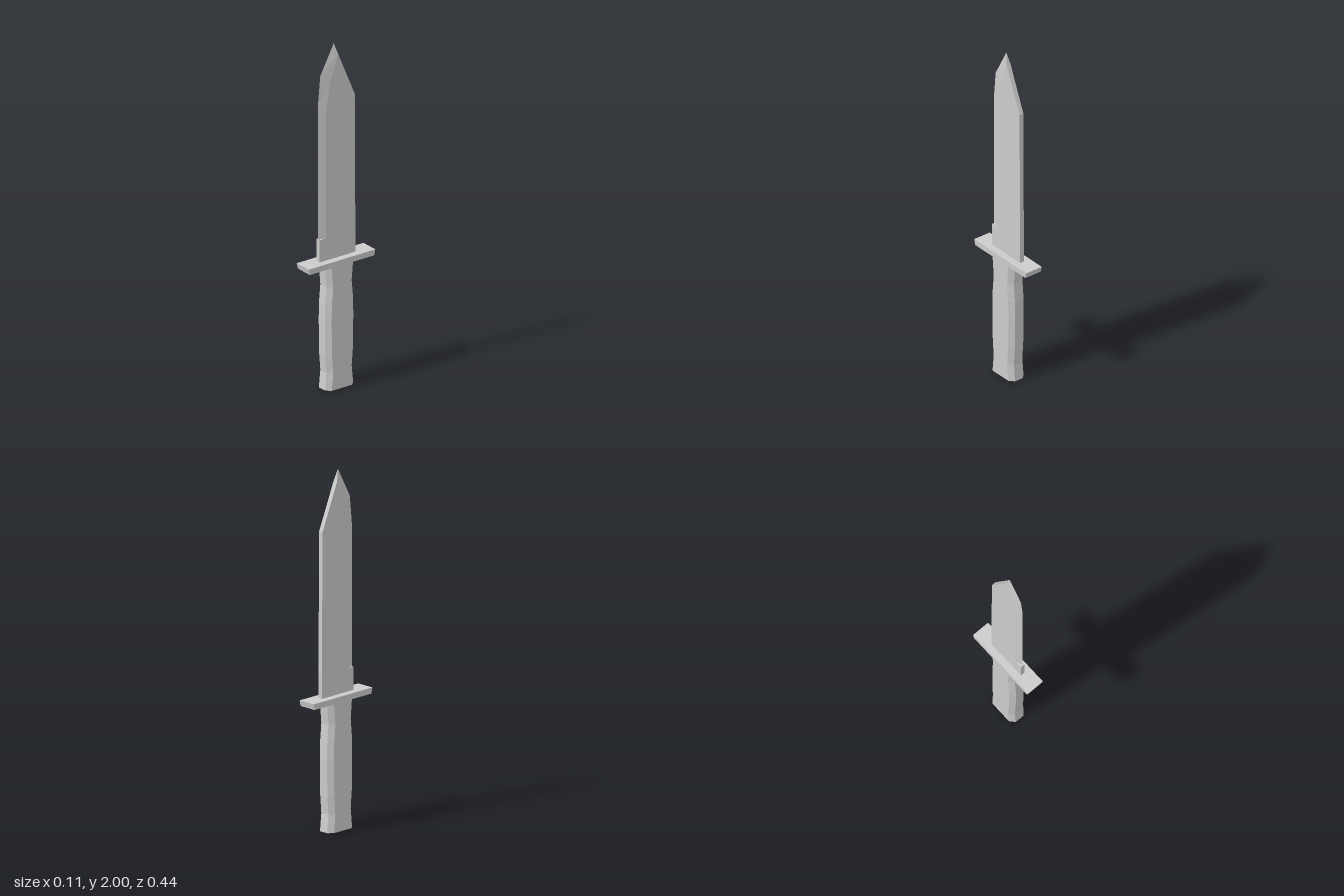
import * as THREE from 'three';

const material = new THREE.MeshStandardMaterial({ color: 0xcccccc, flatShading: true });

// Skin a stack of rings (counter-clockwise from above) and cap both ends.
function loft(name, rings) {
  const pos = [];
  const tri = (a, b, c) => pos.push(...a, ...b, ...c);
  const n = rings[0].length;
  for (let r = 0; r < rings.length - 1; r++) {
    for (let i = 0; i < n; i++) {
      const j = (i + 1) % n;
      const a = rings[r][i], b = rings[r][j], c = rings[r + 1][j], d = rings[r + 1][i];
      tri(a, b, c);
      tri(a, c, d);
    }
  }
  const bottom = rings[0], top = rings[rings.length - 1];
  for (let i = 1; i < n - 1; i++) {
    tri(bottom[0], bottom[i + 1], bottom[i]);
    tri(top[0], top[i], top[i + 1]);
  }
  const geometry = new THREE.BufferGeometry();
  geometry.setAttribute('position', new THREE.Float32BufferAttribute(pos, 3));
  geometry.computeVertexNormals();
  const mesh = new THREE.Mesh(geometry, material);
  mesh.name = name;
  return mesh;
}

// Rectangle with optional chamfered corners: half width x, outer z, inner x and z.
const rect = (x, z, y) => [[x, y, -z], [-x, y, -z], [-x, y, z], [x, y, z]];
const octagon = (x, z, ix, iz, y) => [
  [x, y, -iz], [ix, y, -z], [-ix, y, -z], [-x, y, -iz],
  [-x, y, iz], [-ix, y, z], [ix, y, z], [x, y, iz],
];

export function createModel() {
  const group = new THREE.Group();
  group.name = 'knife';

  // Grip: chamfered bar, pinched near both ends
  const grip = [[0, 0.094], [0.1, 0.084], [0.2, 0.092], [0.4, 0.095], [0.5, 0.093], [0.6, 0.084], [0.717, 0.094]];
  group.add(loft('grip', grip.map(([y, z]) => octagon(0.052, z, 0.027, z - 0.027, y))));

  // Crossguard: slab with slightly slanted ends
  group.add(loft('crossguard', [rect(0.053, 0.214, 0.717), rect(0.053, 0.222, 0.75)]));

  // Blade base: unsharpened full-thickness block
  const t = 0.013;
  group.add(loft('bladeBase', [rect(t, 0.119, 0.75), rect(t, 0.119, 0.88)]));

  // Blade: flat spine, flat sides and a front bevel; rows of [z, y] for spine, bevel line, edge
  const rows = [
    [[-0.119, 0.88], [0.075, 0.88], [0.119, 0.88]],
    [[-0.115, 1.675], [0.075, 1.62], [0.119, 1.68]],
    [[-0.06, 1.804], [0.05, 1.77], [0.105, 1.83]],
    [[-0.005, 1.935], [-0.005, 1.935], [0.015, 2]],
  ];
  group.add(loft('blade', rows.map(([s, b, e]) => [
    [t, s[1], s[0]], [-t, s[1], s[0]], [-t, b[1], b[0]], [0, e[1], e[0]], [t, b[1], b[0]],
  ])));

  return group;
}
